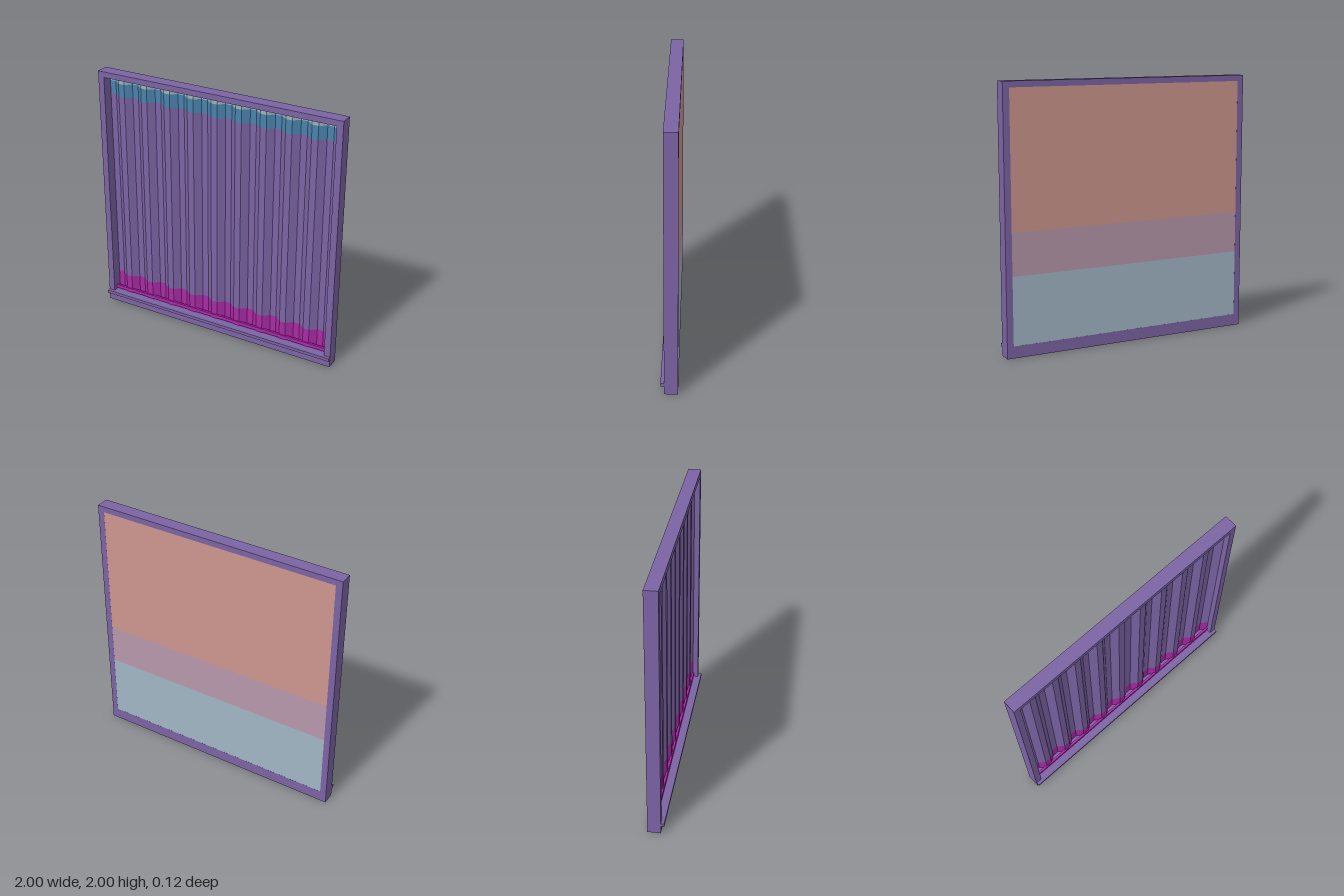
import * as THREE from 'three';

const mat = (name, color, side = THREE.FrontSide) => {
  const m = new THREE.MeshStandardMaterial({ color, side });
  m.name = name;
  return m;
};

export function createModel() {
  const group = new THREE.Group();
  const purple = mat('purple', 0x7c64a5);
  const curtainPurple = purple;
  const blue = mat('blue', 0x4a82ad);
  const pale = mat('pale grey', 0x9ab4b8);
  const cyan = mat('cyan', 0x18c4d4);
  const magenta = mat('magenta', 0xa82aa4);
  const brightMagenta = mat('bright magenta', 0xb424b0);
  const orange = mat('terracotta', 0xcd968e);
  const pink = mat('dusty pink', 0xb898ac);
  const greyBlue = mat('grey blue', 0xa2b6c6);

  const add = (name, geometry, material) => {
    const mesh = new THREE.Mesh(geometry, material);
    mesh.name = name;
    group.add(mesh);
    return mesh;
  };
  // Box given by its two opposite corners
  const box = (name, material, x0, x1, y0, y1, z0, z1) =>
    add(name, new THREE.BoxGeometry(x1 - x0, y1 - y0, z1 - z0), material)
      .position.set((x0 + x1) / 2, (y0 + y1) / 2, (z0 + z1) / 2);

  const back = -0.0625, front = 0.0375;
  const inX = 0.95, inLow = 0.09, inTop = 1.955;

  // Frame with a rectangular opening
  const outline = new THREE.Shape();
  outline.moveTo(-1, 0).lineTo(1, 0).lineTo(1, 2).lineTo(-1, 2).closePath();
  const opening = new THREE.Path();
  opening.moveTo(-inX, inLow).lineTo(-inX, inTop).lineTo(inX, inTop).lineTo(inX, inLow).closePath();
  outline.holes.push(opening);
  const frame = new THREE.ExtrudeGeometry(outline, { depth: front - back, bevelEnabled: false });
  frame.translate(0, 0, back);
  add('frame', frame, purple);

  // Sill along the front
  box('sill', purple, -1, 1, 0.065, 0.09, front, 0.0625);

  // Pleated curtain in horizontal colour bands
  const pleatZ = [-0.045, -0.045, -0.005, -0.005];
  const band = (name, material, y0, y1) => {
    const plane = new THREE.PlaneGeometry(2 * inX, y1 - y0, 38, 1);
    const p = plane.attributes.position;
    for (let i = 0; i < p.count; i++) p.setZ(i, pleatZ[(i % 39) % 4]);
    const geometry = plane.toNonIndexed();
    geometry.translate(0, (y0 + y1) / 2, 0);
    geometry.computeVertexNormals();
    add(name, geometry, material);
  };
  band('curtainHem', magenta, inLow, 0.245);
  band('curtainBody', curtainPurple, 0.245, 1.805);
  band('curtainHeader', blue, 1.805, 1.91);
  band('curtainTopEdge', pale, 1.91, inTop);

  // Rails at the top and bottom of the curtain
  box('topRail', cyan, -inX, inX, 1.94, inTop, -0.015, 0.003);
  box('bottomRail', brightMagenta, -inX, inX, 0.1, 0.128, -0.015, 0.003);

  // Back panel in three colour fields
  const panel = (name, material, y0, y1) => box(name, material, -inX, inX, y0, y1, back + 0.0005, back + 0.008);
  panel('backPanelUpper', orange, 0.925, inTop);
  panel('backPanelMiddle', pink, 0.605, 0.925);
  panel('backPanelLower', greyBlue, inLow, 0.605);

  return group;
}
